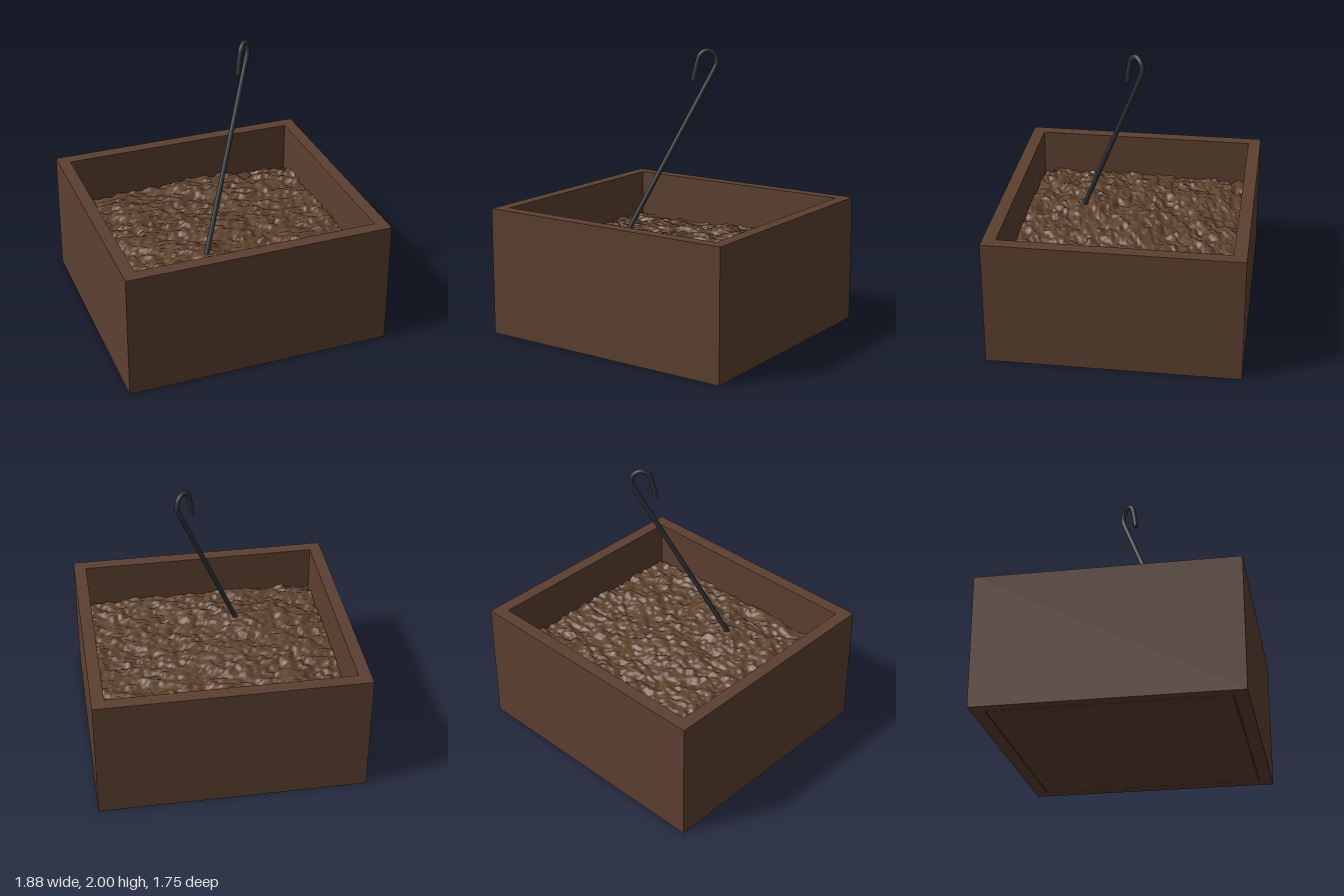
import * as THREE from 'three';

const material = (name, color) => Object.assign(new THREE.MeshStandardMaterial({ color }), { name });

function mesh(name, geometry, mat) {
  const m = new THREE.Mesh(geometry, mat);
  m.name = name;
  return m;
}

// Smooth value noise from a seeded lattice hash
function hash(i, j) {
  const s = Math.sin(i * 127.1 + j * 311.7 + 7.3) * 43758.5453;
  return s - Math.floor(s);
}
function noise(x, y) {
  const i = Math.floor(x), j = Math.floor(y);
  const u = THREE.MathUtils.smoothstep(x - i, 0, 1);
  const v = THREE.MathUtils.smoothstep(y - j, 0, 1);
  const a = THREE.MathUtils.lerp(hash(i, j), hash(i + 1, j), u);
  const b = THREE.MathUtils.lerp(hash(i, j + 1), hash(i + 1, j + 1), u);
  return THREE.MathUtils.lerp(a, b, v) - 0.5;
}

// Soil height: a low mound, sunken along the back edge, covered in clods
function soilHeight(x, z) {
  const mound = 0.05 * Math.exp(-((x + 0.25) ** 2 + (z - 0.3) ** 2) / 0.3);
  const backDip = 0.045 * THREE.MathUtils.smoothstep(-z, 0.6, 0.78)
    * (0.5 + noise(x * 3 + 9, 2.5));
  const clods = 0.04 * noise(x * 6, z * 8) + 0.035 * noise(x * 16 + 5, z * 24)
    + 0.022 * noise(x * 34, z * 48 + 3);
  return 0.578 + mound - backDip + clods;
}

export function createModel() {
  const model = new THREE.Group();
  const wood = material('brown box', 0x5c4030);
  const soil = material('soil', 0x5f432e);
  const darkSoil = material('dark soil', 0x33240f);
  const iron = material('dark iron', 0x30353a);

  // Square frame, open at top and bottom
  const outline = (w, d, S) => new S([[-w, -d], [w, -d], [w, d], [-w, d]]
    .map(([x, y]) => new THREE.Vector2(x, y)));
  const plan = outline(0.94, 0.873, THREE.Shape);
  plan.holes.push(outline(0.853, 0.783, THREE.Path));
  const frame = new THREE.ExtrudeGeometry(plan, { depth: 0.9, bevelEnabled: false });
  frame.rotateX(-Math.PI / 2);
  model.add(mesh('boxFrame', frame, wood));

  // Filling below the loose soil, dark on top
  const filling = new THREE.BoxGeometry(1.696, 0.54, 1.556);
  filling.translate(0, 0.27, 0);
  model.add(mesh('filling', filling, [wood, wood, darkSoil, wood, wood, wood]));

  // Loose soil surface
  const ground = new THREE.PlaneGeometry(1.696, 1.556, 170, 160);
  ground.rotateX(-Math.PI / 2);
  const p = ground.attributes.position;
  for (let i = 0; i < p.count; i++) p.setY(i, soilHeight(p.getX(i), p.getZ(i)));
  ground.computeVertexNormals();
  model.add(mesh('soilSurface', ground, soil));

  // Leaning rod with a hooked end, lying in one diagonal upright plane
  const at = ([x, y]) => new THREE.Vector3(x, y, 0.157 - x);
  const hook = [[0.252, 1.842], [0.268, 1.9], [0.258, 1.955], [0.222, 1.983],
    [0.188, 1.957], [0.172, 1.9], [0.152, 1.78]].map(at);
  const path = new THREE.CurvePath();
  path.add(new THREE.LineCurve3(at([-0.264, 0.5]), hook[0]));
  path.add(new THREE.CatmullRomCurve3(hook));
  const rod = new THREE.Group();
  rod.name = 'hookedRod';
  rod.add(mesh('rodBar', new THREE.TubeGeometry(path, 120, 0.017, 12), iron));

  // Flat cap on the hook tip
  const cap = mesh('rodTip', new THREE.CircleGeometry(0.017, 12), iron);
  cap.position.copy(hook[6]);
  cap.lookAt(hook[6].clone().add(path.getTangent(1)));
  rod.add(cap);
  model.add(rod);

  return model;
}
